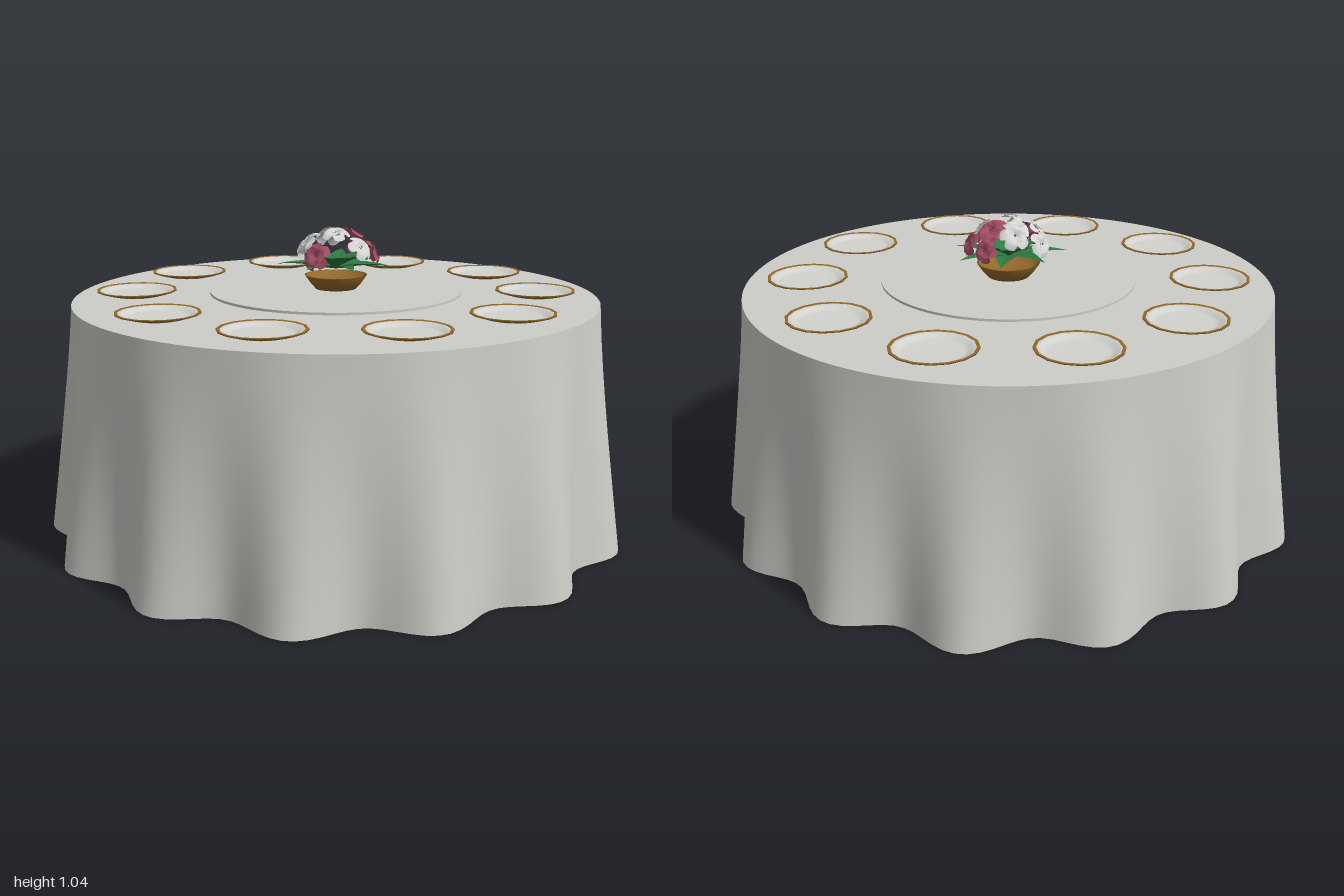
import * as THREE from 'three';
import { mergeVertices, mergeGeometries } from 'three/addons/utils/BufferGeometryUtils.js';

const mat = (name, color) => {
  const material = new THREE.MeshStandardMaterial({ color, side: THREE.DoubleSide });
  material.name = name;
  return material;
};

function add(parent, name, geometry, material) {
  const mesh = new THREE.Mesh(geometry, material);
  mesh.name = name;
  parent.add(mesh);
  return mesh;
}

// Move every vertex by a rule, then smooth across seams
function bend(geometry, rule) {
  const p = geometry.attributes.position, v = new THREE.Vector3();
  for (let i = 0; i < p.count; i++) {
    rule(v.fromBufferAttribute(p, i));
    p.setXYZ(i, v.x, v.y, v.z);
  }
  geometry.deleteAttribute('uv');
  geometry.deleteAttribute('normal');
  const merged = mergeVertices(geometry, 1e-5);
  merged.computeVertexNormals();
  return merged;
}

const lathe = (points, sides) =>
  new THREE.LatheGeometry(points.map(([r, y]) => new THREE.Vector2(r, y)), sides);

// Skirt that gathers into fourteen folds toward the floor
function skirtGeometry() {
  const g = new THREE.CylinderGeometry(0.89, 0.89, 0.8, 168, 8, true).translate(0, 0.4, 0);
  return bend(g, v => {
    const t = THREE.MathUtils.clamp(1 - v.y / 0.8, 0, 1);
    const a = Math.atan2(-v.z, v.x);
    const r = 0.89 + 0.067 * t + 0.043 * Math.pow(t, 1.2) * Math.cos(14 * (a - 0.09));
    v.x = r * Math.cos(a);
    v.z = -r * Math.sin(a);
  });
}

// Pointed leaf along +x, folded on its midrib
function leafGeometry(length, width) {
  const g = new THREE.PlaneGeometry(1, 1, 6, 2).rotateX(-Math.PI / 2).translate(0.5, 0, 0);
  return bend(g, v => {
    const t = v.x, side = v.z;
    const w = t < 0.35 ? 0.3 + 2 * t : (1 - t) / 0.65;
    v.set(t * length, 0.02 * Math.sin(t * Math.PI * 0.6) + 0.025 * Math.abs(side) * w, side * width * w);
  });
}

// Cupped round petal leaning out along +x from the flower's axis
function petalGeometry(length, width, lean) {
  const g = new THREE.PlaneGeometry(1, 1, 4, 4).rotateX(-Math.PI / 2).translate(0.5, 0, 0);
  return bend(g, v => {
    const t = v.x, s = v.z * 2;
    const w = Math.sqrt(Math.max(0, 1 - ((t - 0.6) / 0.62) ** 2)) * 0.9 + 0.08;
    const angle = lean + 0.55 * Math.sin(t * Math.PI);
    v.set(t * length * Math.cos(angle) - 0.12 * length * s * s * w,
      t * length * Math.sin(angle) + 0.1 * length * s * s * w, s * width * w * 0.5);
  });
}

// Bloom of three rings of petals, unit radius, facing +y
function bloomGeometry() {
  const petals = [];
  [[1, 0.95, 0.05], [0.8, 0.75, 0.5], [0.58, 0.55, 0.95]].forEach(([length, width, lean], ring) => {
    for (let i = 0; i < 5; i++) {
      petals.push(petalGeometry(length, width, lean).rotateY((i + ring * 0.5) * Math.PI * 0.4));
    }
  });
  return mergeGeometries(petals);
}

export function createModel() {
  const model = new THREE.Group();
  model.name = 'banquetTable';
  const linen = mat('linen', 0xcdcdc8);
  const china = mat('china', 0xd2d2ce);
  const gold = mat('gold', 0x94692a);
  const green = mat('leafGreen', 0x2f7a42);
  const pink = mat('petalPink', 0xa84f68);
  const white = mat('petalWhite', 0xd6d6d6);
  const dark = mat('flowerHeart', 0x5a4a4e);

  // Tablecloth
  add(model, 'tableclothSkirt', skirtGeometry(), linen);
  add(model, 'tableclothTop', new THREE.CircleGeometry(0.89, 168).rotateX(-Math.PI / 2), linen).position.y = 0.8;

  // Turntable on its short foot
  add(model, 'turntableFoot', new THREE.CylinderGeometry(0.05, 0.05, 0.016, 32), linen).position.y = 0.808;
  add(model, 'turntable', new THREE.CylinderGeometry(0.43, 0.43, 0.008, 80), linen).position.y = 0.82;

  // Ten plates with gilded rims
  const dish = lathe([[0, 0.801], [0.08, 0.801], [0.128, 0.815], [0.128, 0.819],
    [0.115, 0.817], [0.104, 0.809], [0.09, 0.806], [0, 0.806]], 32);
  const rim = lathe([[0.1, 0.806], [0.136, 0.817], [0.136, 0.822], [0.126, 0.82]], 16);
  for (let i = 0; i < 10; i++) {
    const a = i * Math.PI / 5;
    const plate = new THREE.Group();
    plate.name = 'plate' + (i + 1);
    plate.position.set(0.683 * Math.cos(a), 0, 0.683 * Math.sin(a));
    add(plate, 'plateDish', dish, china);
    add(plate, 'plateRim', rim, gold);
    model.add(plate);
  }

  // Centrepiece bowl
  add(model, 'flowerBowl', lathe([[0, 0.826], [0.07, 0.826], [0.088, 0.846], [0.107, 0.873],
    [0.1, 0.873], [0.08, 0.85], [0, 0.842]], 24), gold);

  // Leaves: direction in degrees (from +x toward +z) and reach
  const bouquet = new THREE.Group();
  bouquet.name = 'bouquet';
  model.add(bouquet);
  [[18, 0.19], [72, 0.19], [122, 0.185], [177, 0.2], [228, 0.18], [277, 0.195], [325, 0.195]]
    .forEach(([deg, reach]) => {
      const leaf = add(bouquet, 'outerLeaf', leafGeometry(reach, 0.085), green);
      leaf.position.y = 0.893;
      leaf.rotation.y = -deg * Math.PI / 180;
    });
  const innerLeaf = leafGeometry(0.13, 0.07);
  for (let i = 0; i < 7; i++) {
    const leaf = add(bouquet, 'innerLeaf', innerLeaf, green);
    leaf.position.y = 0.895;
    leaf.rotation.set(0, i * Math.PI * 2 / 7 + 0.5, 0.25);
  }

  // Blooms over a dome: x, y, z, radius, colour
  const bloom = bloomGeometry();
  const heart = new THREE.SphereGeometry(0.17, 10, 6).translate(0, 0.25, 0);
  const up = new THREE.Vector3(0, 1, 0);
  [[0, 1.005, 0.03, 0.048, white], [-0.02, 0.985, -0.1, 0.05, white],
    [-0.085, 0.98, 0.01, 0.045, white], [-0.1, 0.95, -0.065, 0.045, white],
    [0.075, 0.965, 0.06, 0.048, white], [-0.03, 0.995, -0.04, 0.042, white],
    [0.05, 0.985, -0.055, 0.058, pink], [0.115, 0.94, -0.025, 0.05, pink],
    [-0.06, 0.945, 0.095, 0.05, pink], [0.07, 0.94, -0.1, 0.042, pink]]
    .forEach(([x, y, z, radius, color]) => {
      const flower = new THREE.Group();
      flower.name = color === pink ? 'pinkFlower' : 'whiteFlower';
      flower.position.set(x, y, z);
      flower.quaternion.setFromUnitVectors(up, new THREE.Vector3(x, y - 0.89, z).normalize());
      flower.scale.setScalar(radius);
      add(flower, 'petals', bloom, color);
      add(flower, 'flowerHeart', heart, dark);
      bouquet.add(flower);
    });

  return model;
}
